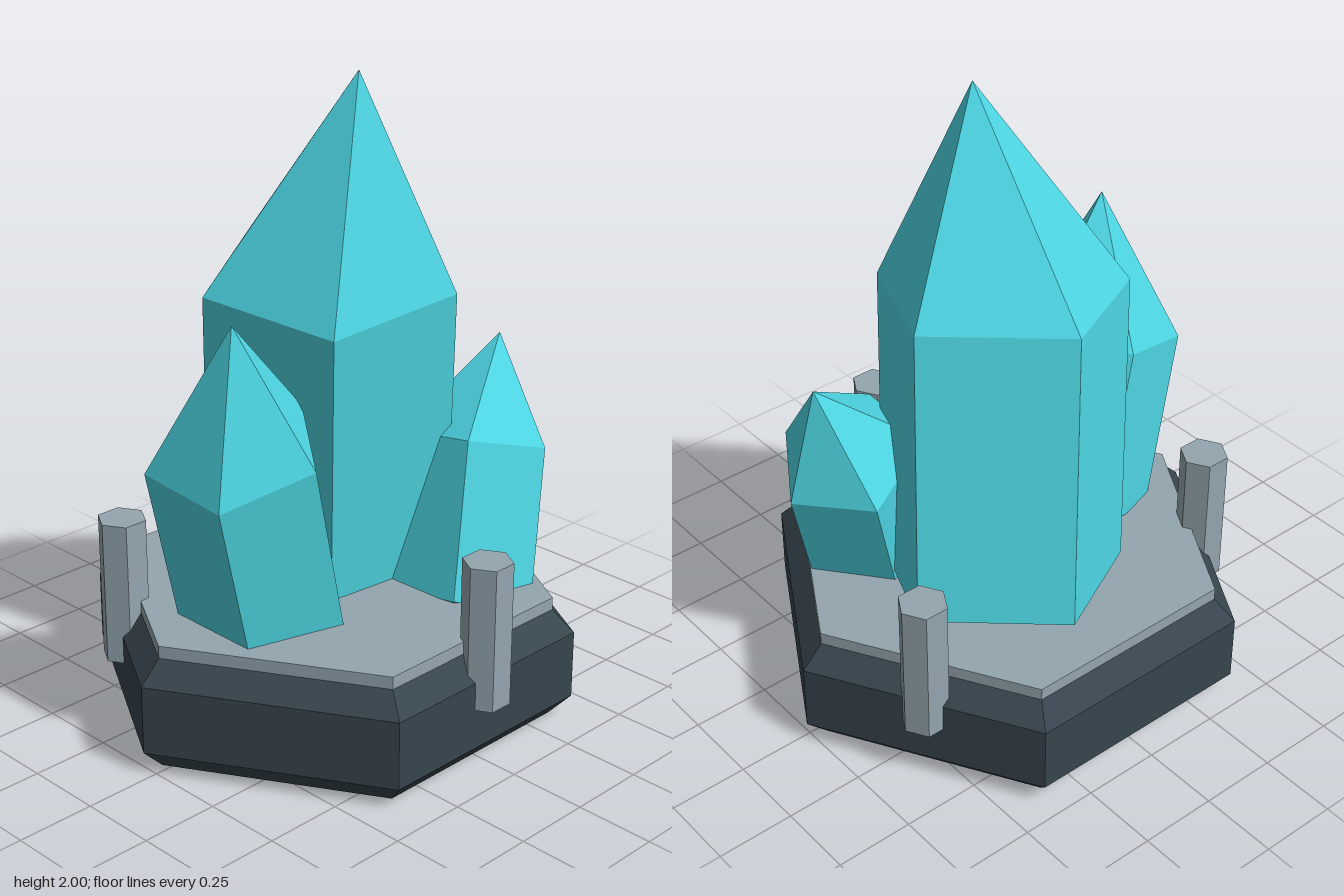
import * as THREE from 'three';

const mat = (color) => new THREE.MeshStandardMaterial({ color, flatShading: true, roughness: 0.8 });
const crystalMat = mat(0x4dd5e2);
const stoneMat = mat(0x37454e);
const metalMat = mat(0x94a5af);

// Hexagonal frustum with corners on the x axis
function hex(name, rTop, rBottom, y0, y1, material, x = 0, z = -0.025) {
  const geo = new THREE.CylinderGeometry(rTop, rBottom, y1 - y0, 6);
  geo.rotateY(Math.PI / 6);
  const mesh = new THREE.Mesh(geo, material);
  mesh.position.set(x, (y0 + y1) / 2, z);
  mesh.name = name;
  return mesh;
}

// Five-sided leaning prism: pointed above the shoulder ring, blunt point below the foot ring
function crystal(name, tip, shoulder, lean, footDepth) {
  const top = shoulder.map((p) => new THREE.Vector3(...p));
  const shift = new THREE.Vector3(...lean);
  const low = top.map((p) => p.clone().add(shift));
  const apex = new THREE.Vector3(...tip);
  const foot = low.reduce((sum, p) => sum.addScaledVector(p, 1 / low.length), new THREE.Vector3());
  foot.addScaledVector(shift.clone().normalize(), footDepth);
  const points = [];
  top.forEach((a, i) => {
    const j = (i + 1) % top.length;
    const b = top[j], c = low[i], d = low[j];
    points.push(a, b, apex, c, d, b, c, b, a, d, c, foot);
  });
  const geo = new THREE.BufferGeometry().setFromPoints(points);
  geo.computeVertexNormals();
  const mesh = new THREE.Mesh(geo, crystalMat);
  mesh.name = name;
  return mesh;
}

export function createModel() {
  const model = new THREE.Group();
  model.name = 'crystalCluster';

  // Bevelled stone base as one turned hexagonal profile
  const profile = [[0, 0], [0.705, 0], [0.775, 0.07], [0.775, 0.29], [0.705, 0.36], [0, 0.36]];
  const baseGeo = new THREE.LatheGeometry(profile.map(([r, y]) => new THREE.Vector2(r, y)), 6, Math.PI / 6);
  const base = new THREE.Mesh(baseGeo, stoneMat);
  base.position.z = -0.025;
  base.name = 'base';
  model.add(base, hex('topPlate', 0.705, 0.705, 0.36, 0.4, metalMat));

  // Three posts around the rim
  for (let i = 0; i < 3; i++) {
    const a = (i * Math.PI * 2) / 3;
    model.add(hex('post' + (i + 1), 0.077, 0.077, 0.2, 0.66, metalMat,
      0.65 * Math.sin(a), -0.025 + 0.65 * Math.cos(a)));
  }

  // Crystals, rings listed left, front, right, back
  model.add(
    crystal('mainCrystal', [0.04, 2, 0.053], [
      [-0.332, 1.337, -0.222], [-0.236, 1.29, 0.23], [0.223, 1.337, 0.283],
      [0.41, 1.405, -0.139], [0.066, 1.41, -0.452],
    ], [0.095, -0.92, -0.108], 0.18),
    crystal('rightCrystal', [-0.546, 1.395, 0.143], [
      [-0.682, 0.92, -0.09], [-0.677, 0.89, 0.222], [-0.39, 0.96, 0.315],
      [-0.21, 1.045, 0.07], [-0.4, 1.015, -0.18],
    ], [0.165, -0.56, -0.056], 0.18),
    crystal('leftCrystal', [0.546, 1.109, 0.176], [
      [0.64, 0.732, 0.19], [0.476, 0.748, -0.022], [0.22, 0.843, 0.07],
      [0.235, 0.877, 0.33], [0.495, 0.803, 0.417],
    ], [-0.13, -0.47, 0.072], 0.12),
  );
  return model;
}
